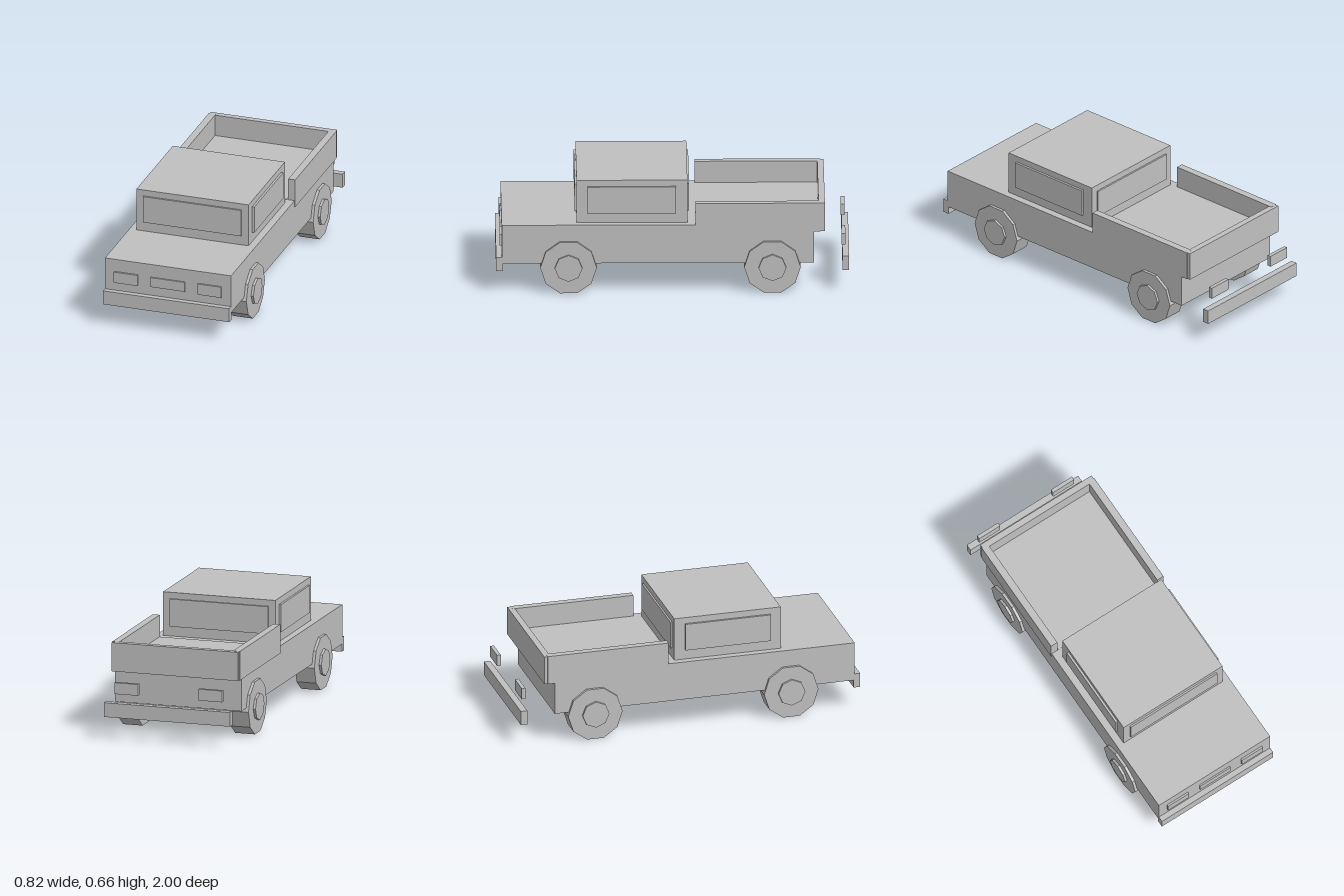
import * as THREE from 'three';

const paint = new THREE.MeshStandardMaterial({ color: 0xc0c0c0, flatShading: true });
paint.name = 'plain grey';

// Box given by its extents along each axis
function box(name, [x0, x1], [y0, y1], [z0, z1]) {
  const mesh = new THREE.Mesh(new THREE.BoxGeometry(x1 - x0, y1 - y0, z1 - z0), paint);
  mesh.position.set((x0 + x1) / 2, (y0 + y1) / 2, (z0 + z1) / 2);
  mesh.name = name;
  return mesh;
}

// Disc lying along the x axis
function disc(name, radius, sides, x0, x1) {
  const geometry = new THREE.CylinderGeometry(radius, radius, x1 - x0, sides).rotateZ(Math.PI / 2);
  const mesh = new THREE.Mesh(geometry, paint);
  mesh.position.x = (x0 + x1) / 2;
  mesh.name = name;
  return mesh;
}

export function createModel() {
  const truck = new THREE.Group();
  truck.name = 'pickupTruck';

  // Lower body, bumpers and grille
  truck.add(
    box('body', [-0.378, 0.378], [0.174, 0.403], [-0.8, 0.968]),
    box('frontBumper', [-0.378, 0.378], [0.129, 0.212], [0.962, 1]),
    box('rearBumper', [-0.378, 0.378], [0.129, 0.212], [-1, -0.962]),
    box('grille', [-0.103, 0.103], [0.267, 0.325], [0.96, 0.977])
  );

  // Cab with raised front and rear windows
  truck.add(
    box('cab', [-0.336, 0.336], [0.4, 0.657], [-0.084, 0.544]),
    box('windshield', [-0.294, 0.294], [0.46, 0.62], [0.53, 0.554]),
    box('rearWindow', [-0.294, 0.294], [0.46, 0.62], [-0.094, -0.07])
  );

  // Cargo bed
  truck.add(
    box('bedFloor', [-0.345, 0.345], [0.364, 0.405], [-0.835, -0.13]),
    box('tailgate', [-0.378, 0.378], [0.364, 0.531], [-0.862, -0.826])
  );

  // Mirrored parts
  for (const side of [-1, 1]) {
    const span = (a, b) => (side > 0 ? [a, b] : [-b, -a]);
    const label = side > 0 ? 'left' : 'right';
    truck.add(
      box(label + 'SideWindow', span(0.32, 0.349), [0.46, 0.62], [-0.02, 0.483]),
      box(label + 'BedWall', span(0.34, 0.382), [0.363, 0.532], [-0.842, -0.13]),
      box(label + 'Headlight', span(0.18, 0.322), [0.262, 0.328], [0.96, 0.979]),
      box(label + 'TailLight', span(0.18, 0.322), [0.262, 0.328], [-0.979, -0.957])
    );

    // Ten-sided tyre with an eight-sided hub cap
    for (const [end, z] of [['Front', 0.59], ['Rear', -0.565]]) {
      const wheel = new THREE.Group();
      wheel.name = label + end + 'Wheel';
      wheel.add(
        disc('tyre', 0.16, 10, ...span(0.277, 0.394)),
        disc('hubCap', 0.0785, 8, ...span(0.37, 0.408))
      );
      wheel.position.set(0, 0.1525, z);
      truck.add(wheel);
    }
  }
  return truck;
}
